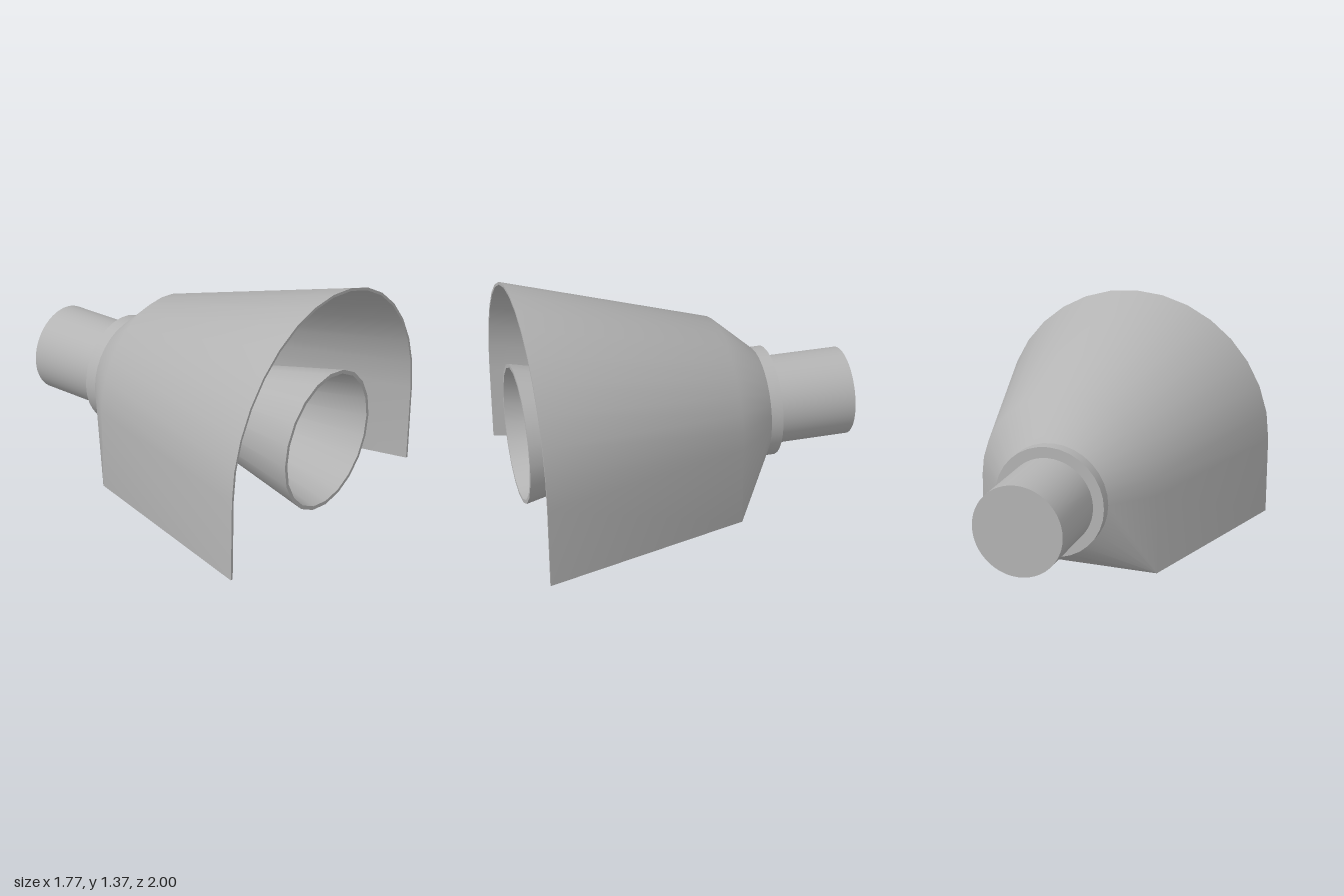
import * as THREE from 'three';
import { toCreasedNormals } from 'three/addons/utils/BufferGeometryUtils.js';

const AXIS = 0.48;   // height of the common axis
const WALL = 0.016;  // sheet thickness
const STEPS = 16;    // facets over the half-round roof

// Cross-section loops, clockwise from the left end of the roof arc.
// Each has 35 points: the arc, then nine per lower corner.
function archLoop(r, z, floor) {
  const pts = [];
  for (let i = 0; i <= STEPS; i++) {
    const a = Math.PI * (1 - i / STEPS);
    pts.push(new THREE.Vector3(r * Math.cos(a), AXIS + r * Math.sin(a), z));
  }
  for (const x of [r, -r]) {
    for (let i = 0; i <= STEPS / 2; i++) pts.push(new THREE.Vector3(x, floor, z));
  }
  return pts;
}

function roundLoop(r, z) {
  const pts = [];
  const add = (a) => pts.push(new THREE.Vector3(r * Math.cos(a), AXIS + r * Math.sin(a), z));
  for (let i = 0; i <= STEPS; i++) add(Math.PI * (1 - i / STEPS));
  for (let i = 0; i <= STEPS / 2; i++) add(-Math.PI * i / STEPS);
  for (let i = STEPS / 2; i <= STEPS; i++) add(-Math.PI * i / STEPS);
  return pts;
}

// Sheet hood: open-bottomed arch that closes into a round neck
function hoodGeometry() {
  const verts = [];
  const tri = (a, b, c) => {
    const n = b.clone().sub(a).cross(c.clone().sub(a));
    if (n.length() < 1e-7) return;
    for (const p of [a, b, c]) verts.push(p.x, p.y, p.z);
  };
  const quad = (a, b, c, d) => { tri(a, b, c); tri(a, c, d); };
  const cornerR = STEPS + 1 + STEPS / 2;  // last right corner point
  const skin = (a, b, open) => {
    for (let i = 0; i < a.length; i++) {
      if (open && i === cornerR) continue;
      const j = (i + 1) % a.length;
      quad(a[i], a[j], b[j], b[i]);
    }
  };

  const outF = archLoop(0.885, 1, 0), inF = archLoop(0.885 - WALL, 1, 0);
  const outM = archLoop(0.545, -0.21, 0), inM = archLoop(0.545 - WALL, -0.21, WALL);
  const outB = roundLoop(0.328, -0.455), inB = roundLoop(0.328 - WALL, -0.455);

  // flared arch, open below
  skin(outF, outM, true);
  skin(inM, inF, true);
  skin(inF, outF, true);
  // closed transition to the neck
  skin(outM, outB, false);
  skin(inB, inM, false);
  // lower edges of the side walls and of the rear floor
  const r = cornerR, l = cornerR + 1;
  quad(outF[r], inF[r], inM[r], outM[r]);
  quad(inF[l], outF[l], outM[l], inM[l]);
  quad(inM[r], inM[l], outM[l], outM[r]);

  const geo = new THREE.BufferGeometry();
  geo.setAttribute('position', new THREE.Float32BufferAttribute(verts, 3));
  return toCreasedNormals(geo, 0.6);
}

export function createModel() {
  const group = new THREE.Group();
  const grey = new THREE.MeshStandardMaterial({ color: 0xb4b4b4 });
  grey.name = 'metal grey';

  const add = (name, geo) => {
    const mesh = new THREE.Mesh(geo, grey);
    mesh.name = name;
    group.add(mesh);
    return mesh;
  };
  // solid disc or pipe lying along z
  const drum = (name, r, z0, z1, sides) => {
    const geo = new THREE.CylinderGeometry(r, r, z1 - z0, sides).rotateX(Math.PI / 2);
    add(name, geo).position.set(0, AXIS, (z0 + z1) / 2);
  };

  add('hood', hoodGeometry());
  drum('collar', 0.33, -0.525, -0.45, 32);
  drum('pipe', 0.265, -1, -0.52, 48);

  // Hollow horn inside the hood, narrow end on the collar
  const profile = [[0.085, -0.455], [0.412, 1], [0.39, 1], [0.065, -0.455]]
    .map(([r, z]) => new THREE.Vector2(r, z));
  const horn = new THREE.LatheGeometry(profile, 20).rotateX(Math.PI / 2);
  add('horn', toCreasedNormals(horn, 0.6)).position.y = AXIS;

  return group;
}
